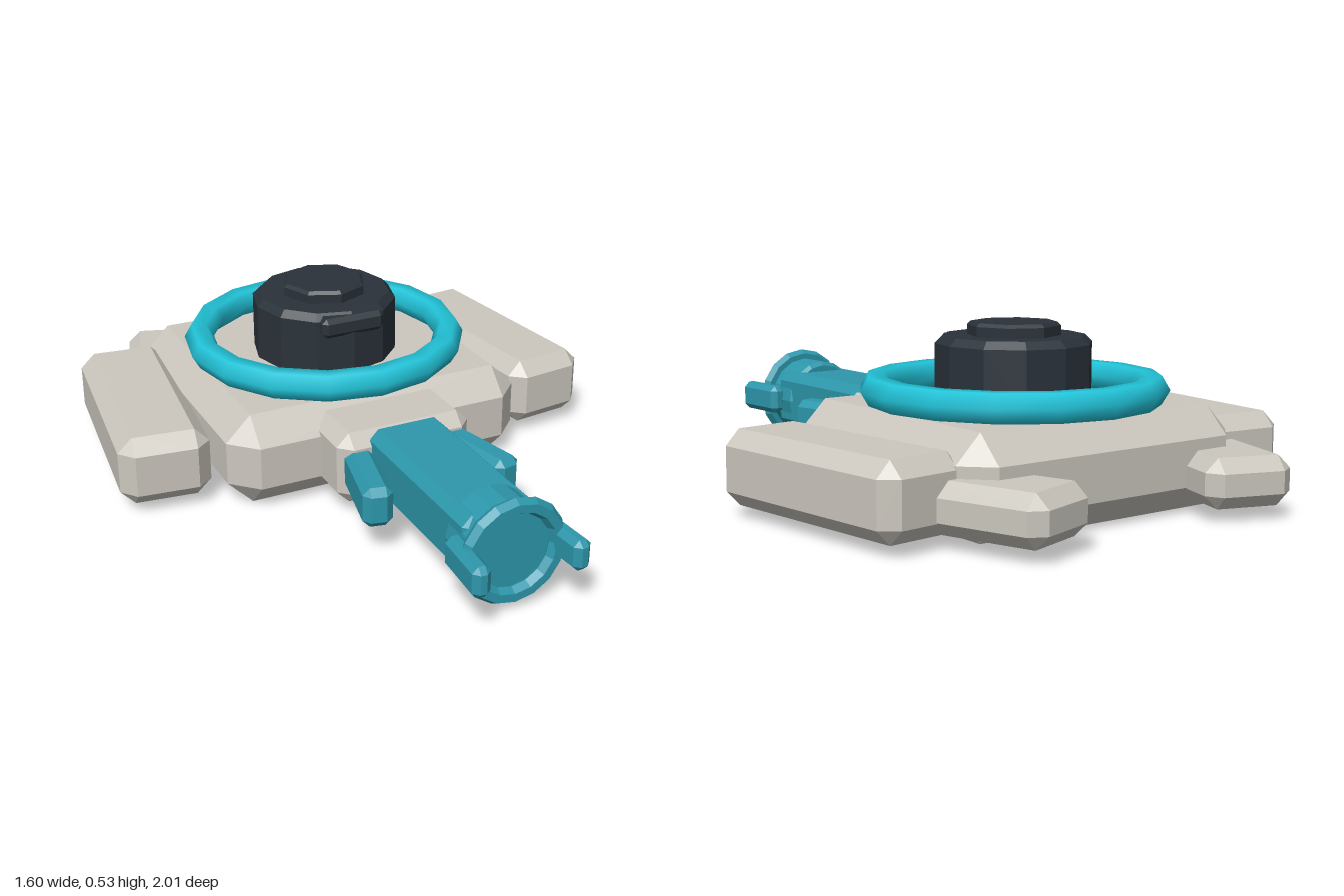
import * as THREE from 'three';
import { ConvexGeometry } from 'three/addons/geometries/ConvexGeometry.js';

const mat = (name, color, flatShading = true) =>
  Object.assign(new THREE.MeshStandardMaterial({ color, flatShading }), { name });

// Box with every edge and corner cut off by the bevel b
function bevelBox(w, h, d, b) {
  const points = [];
  for (const sx of [-1, 1]) for (const sy of [-1, 1]) for (const sz of [-1, 1]) {
    const x = w / 2, y = h / 2, z = d / 2;
    points.push(
      new THREE.Vector3(sx * x, sy * (y - b), sz * (z - b)),
      new THREE.Vector3(sx * (x - b), sy * y, sz * (z - b)),
      new THREE.Vector3(sx * (x - b), sy * (y - b), sz * z));
  }
  return new ConvexGeometry(points);
}

// Upright disc with a bevelled top and bottom rim
function bevelDisc(r, h, b, sides) {
  const profile = [[0, -h / 2], [r - b, -h / 2], [r, -h / 2 + b], [r, h / 2 - b], [r - b, h / 2], [0, h / 2]];
  return new THREE.LatheGeometry(profile.map(p => new THREE.Vector2(...p)), sides);
}

export function createModel() {
  const group = new THREE.Group();
  const shell = mat('warm grey shell', 0xccc8bf);
  const teal = mat('teal', 0x2d97ab);
  const cyan = mat('bright cyan', 0x22c3d8, false);
  const dark = mat('dark slate', 0x2a323a);

  function add(name, geometry, material, x, y, z, turn = 0) {
    const mesh = new THREE.Mesh(geometry, material);
    mesh.name = name;
    mesh.position.set(x, y, z);
    mesh.rotation.y = turn;
    group.add(mesh);
    return mesh;
  }
  // Left and right copies, angled symmetrically
  function addPair(name, geometry, material, x, y, z, turn) {
    add(name + 'Left', geometry, material, x, y, z, turn);
    add(name + 'Right', geometry, material, -x, y, z, -turn);
  }

  // Hull
  add('body', bevelBox(0.99, 0.295, 0.92, 0.08), shell, 0, 0.1475, -0.335);
  add('neck', bevelBox(0.44, 0.23, 0.26, 0.04), shell, 0, 0.155, 0.148);
  addPair('sidePod', bevelBox(0.28, 0.22, 0.74, 0.045), shell, 0.625, 0.14, -0.36, 0.115);
  addPair('rearPod', bevelBox(0.265, 0.145, 0.42, 0.04), shell, 0.404, 0.11, -0.778, 0.32);

  // Ring and turret
  const ring = new THREE.TorusGeometry(0.41, 0.048, 6, 16);
  ring.rotateX(-Math.PI / 2);
  ring.rotateY(Math.PI / 2);
  add('ring', ring, cyan, 0, 0.337, -0.335);
  add('turret', bevelDisc(0.233, 0.22, 0.022, 12), dark, 0, 0.383, -0.335);
  add('turretCap', bevelDisc(0.138, 0.06, 0.01, 8), dark, 0, 0.502, -0.335);
  add('turretPanel', bevelBox(0.21, 0.065, 0.07, 0.015), dark, 0, 0.453, -0.132);

  // Barrel with collar, flange and prongs
  add('barrel', bevelBox(0.245, 0.195, 0.62, 0.03), teal, 0, 0.177, 0.54);
  const collar = bevelDisc(0.131, 0.14, 0.012, 16);
  collar.rotateX(Math.PI / 2);
  add('muzzleCollar', collar, teal, 0, 0.177, 0.805);
  add('muzzleFlange', new THREE.TorusGeometry(0.137, 0.025, 6, 16), teal, 0, 0.177, 0.885);
  addPair('muzzleProng', bevelBox(0.055, 0.095, 0.2, 0.018), teal, 0.147, 0.177, 0.899, 0.07);
  addPair('barrelFin', bevelBox(0.09, 0.125, 0.29, 0.022), teal, 0.182, 0.16, 0.372, 0.22);

  return group;
}
